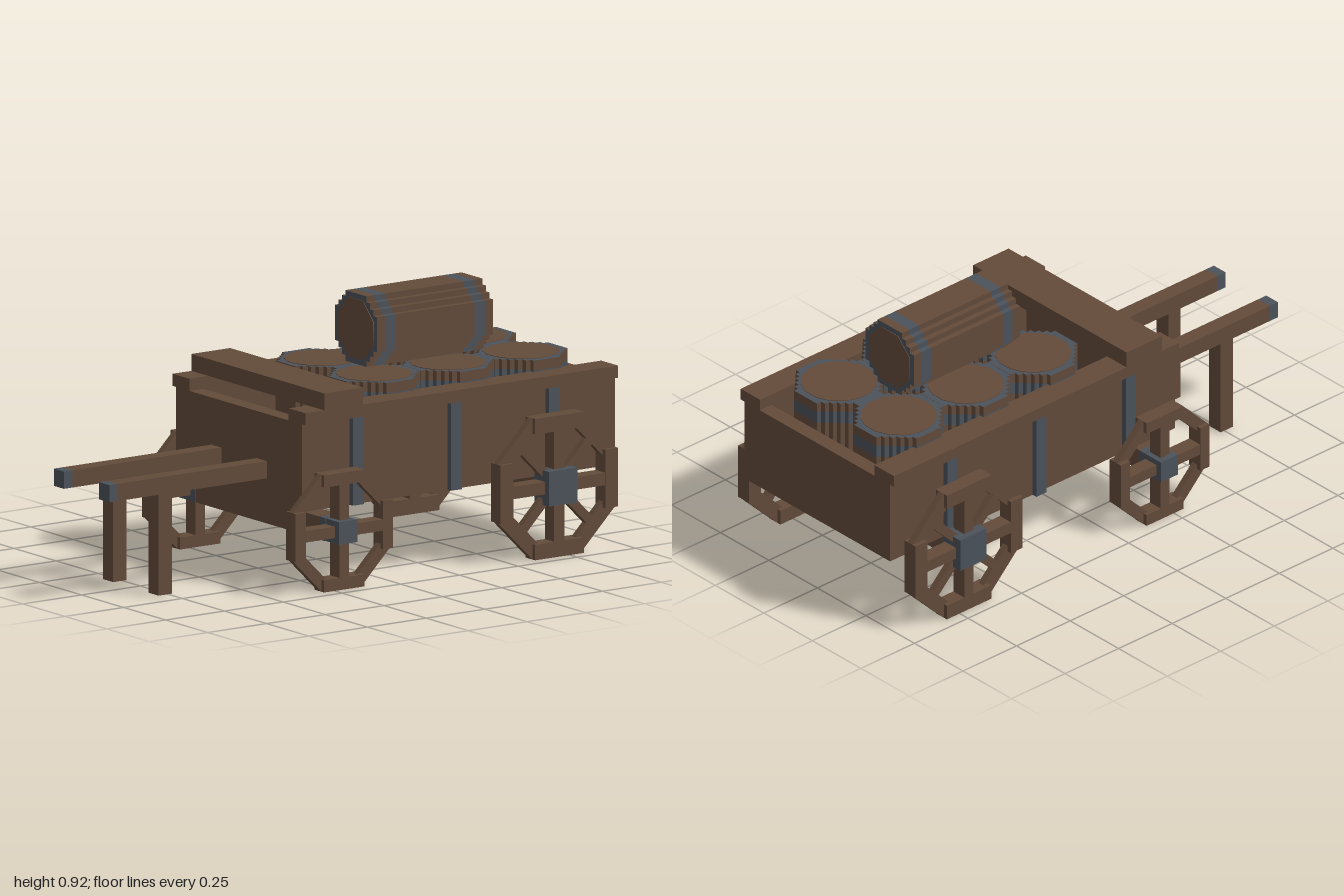
import * as THREE from 'three';

export function createModel() {
  const wood = new THREE.MeshStandardMaterial({ color: 0x634b3a });
  wood.name = 'brown wood';
  const iron = new THREE.MeshStandardMaterial({ color: 0x4b525a });
  iron.name = 'grey iron';
  const model = new THREE.Group();
  model.name = 'barrelCart';

  // Box given by its lower and upper corners
  function box(parent, name, mat, x0, x1, y0, y1, z0, z1) {
    const mesh = new THREE.Mesh(new THREE.BoxGeometry(x1 - x0, y1 - y0, z1 - z0), mat);
    mesh.position.set((x0 + x1) / 2, (y0 + y1) / 2, (z0 + z1) / 2);
    mesh.name = name;
    parent.add(mesh);
  }

  // Stepped round outline, built from one quadrant of steps
  function steppedShape(cells, unit) {
    const quarter = [];
    for (let a = cells, b = 3; a >= 3; a--, b++) {
      quarter.push([a, b]);
      if (a > 3) quarter.push([a - 1, b]);
    }
    const points = [];
    for (let q = 0; q < 4; q++) {
      const c = [1, 0, -1, 0][q], s = [0, 1, 0, -1][q];
      for (const [x, y] of quarter) points.push(new THREE.Vector2((x * c - y * s) * unit, (x * s + y * c) * unit));
    }
    return new THREE.Shape(points);
  }

  // Barrel along +z: staves and hoops in turn, iron end rims, wooden lids
  function barrel(name, cells, radius, length, hoops, lidSides) {
    const group = new THREE.Group();
    group.name = name;
    const shape = steppedShape(cells, radius / cells);
    const cuts = [0, ...hoops.flat(), length];
    for (let i = 0; i < cuts.length - 1; i++) {
      const geo = new THREE.ExtrudeGeometry(shape, { depth: cuts[i + 1] - cuts[i], bevelEnabled: false });
      const part = new THREE.Mesh(geo, [iron, i % 2 ? iron : wood]);
      part.position.z = cuts[i];
      part.name = i % 2 ? 'hoop' : 'staves';
      group.add(part);
    }
    const lidRadius = radius * 0.84 / Math.cos(Math.PI / lidSides);
    for (const z of [0, length]) {
      const geo = new THREE.CylinderGeometry(lidRadius, lidRadius, 0.004, lidSides);
      geo.rotateY(Math.PI / lidSides).rotateX(Math.PI / 2);
      const lid = new THREE.Mesh(geo, wood);
      lid.position.z = z;
      lid.name = 'lid';
      group.add(lid);
    }
    return group;
  }

  // Wagon box
  const body = new THREE.Group();
  body.name = 'wagonBox';
  model.add(body);
  box(body, 'floor', wood, -0.37, 0.37, 0.276, 0.305, -0.99, 0.32);
  box(body, 'frontBoard', wood, -0.375, 0.375, 0.275, 0.585, 0.27, 0.33);
  box(body, 'backBoard', wood, -0.375, 0.375, 0.275, 0.585, -1, -0.945);
  box(body, 'bench', wood, -0.395, 0.395, 0.628, 0.688, 0.085, 0.25);
  for (const s of [-1, 1]) {
    const side = new THREE.Group();
    side.name = s > 0 ? 'leftSide' : 'rightSide';
    body.add(side);
    const x = (a, b) => (s > 0 ? [a, b] : [-b, -a]);
    box(side, 'sideWall', wood, ...x(0.325, 0.375), 0.275, 0.585, -0.945, 0.27);
    box(side, 'topRail', wood, ...x(0.295, 0.395), 0.585, 0.628, -1, 0.33);
    for (const z of [0.105, -0.312, -0.728])
      box(side, 'strap', iron, ...x(0.37, 0.395), 0.275, 0.585, z - 0.023, z + 0.023);
    // Shaft with iron tip and standing leg
    box(side, 'shaft', wood, ...x(0.105, 0.165), 0.357, 0.418, 0.33, 0.963);
    box(side, 'shaftTip', iron, ...x(0.105, 0.165), 0.357, 0.418, 0.963, 1);
    box(side, 'shaftLeg', wood, ...x(0.105, 0.165), 0, 0.357, 0.733, 0.79);
  }

  // Octagonal wheel: wide straight segments and spokes, thin diagonal ones
  function wheel(name, radius, rim, spokes, hubSize, spokeWidth) {
    const group = new THREE.Group();
    group.name = name;
    const flat = radius * Math.tan(Math.PI / 8);
    for (let i = 0; i < 8; i++) {
      const diagonal = i % 2 === 1;
      const arm = new THREE.Group();
      arm.rotation.x = i * Math.PI / 4;
      arm.name = diagonal ? 'diagonalArm' : 'straightArm';
      group.add(arm);
      const halfRim = diagonal ? 0.0125 : 0.0285;
      box(arm, 'rimSegment', wood, -halfRim, halfRim, radius - rim, radius, -flat, flat);
      if (diagonal && spokes < 8) continue;
      const w = (diagonal ? 0.75 : 1) * spokeWidth / 2, halfSpoke = diagonal ? 0.0125 : 0.028;
      box(arm, 'spoke', wood, -halfSpoke, halfSpoke, hubSize / 4, radius - rim, -w, w);
    }
    const h = hubSize / 2;
    box(group, 'hub', iron, -0.034, 0.051, -h, h, -h, h);
    return group;
  }

  // Axles and wheels
  const sets = [
    { name: 'front', z: 0.209, r: 0.207, rim: 0.043, spokes: 4, hub: 0.08, axle: 0.08, width: 0.04 },
    { name: 'rear', z: -0.706, r: 0.25, rim: 0.055, spokes: 8, hub: 0.123, axle: 0.09, width: 0.044 },
  ];
  for (const w of sets) {
    const a = w.axle / 2;
    box(model, w.name + 'Axle', wood, -0.37, 0.37, w.r - a, w.r + a, w.z - a, w.z + a);
    for (const s of [-1, 1]) {
      const mesh = wheel(w.name + (s > 0 ? 'LeftWheel' : 'RightWheel'), w.r, w.rim, w.spokes, w.hub, w.width);
      mesh.position.set(s * 0.4285, w.r, w.z);
      if (s < 0) mesh.rotation.y = Math.PI;
      model.add(mesh);
      box(model, w.name + 'AxleEnd', iron, s * 0.385 - 0.015, s * 0.385 + 0.015,
        w.r - a - 0.001, w.r + a + 0.001, w.z - a - 0.001, w.z + a + 0.001);
    }
  }

  // Cargo: six standing barrels and one lying on top
  for (const z of [-0.76, -0.447, -0.134]) {
    for (const x of [-0.154, 0.154]) {
      const b = barrel('standingBarrel', 8, 0.156, 0.365, [[0.04, 0.085], [0.285, 0.33]], 16);
      b.rotation.x = -Math.PI / 2;
      b.position.set(x, 0.303, z);
      model.add(b);
    }
  }
  const top = barrel('lyingBarrel', 6, 0.125, 0.495, [[0.035, 0.08], [0.415, 0.46]], 8);
  top.position.set(0, 0.795, -0.662);
  model.add(top);

  return model;
}
